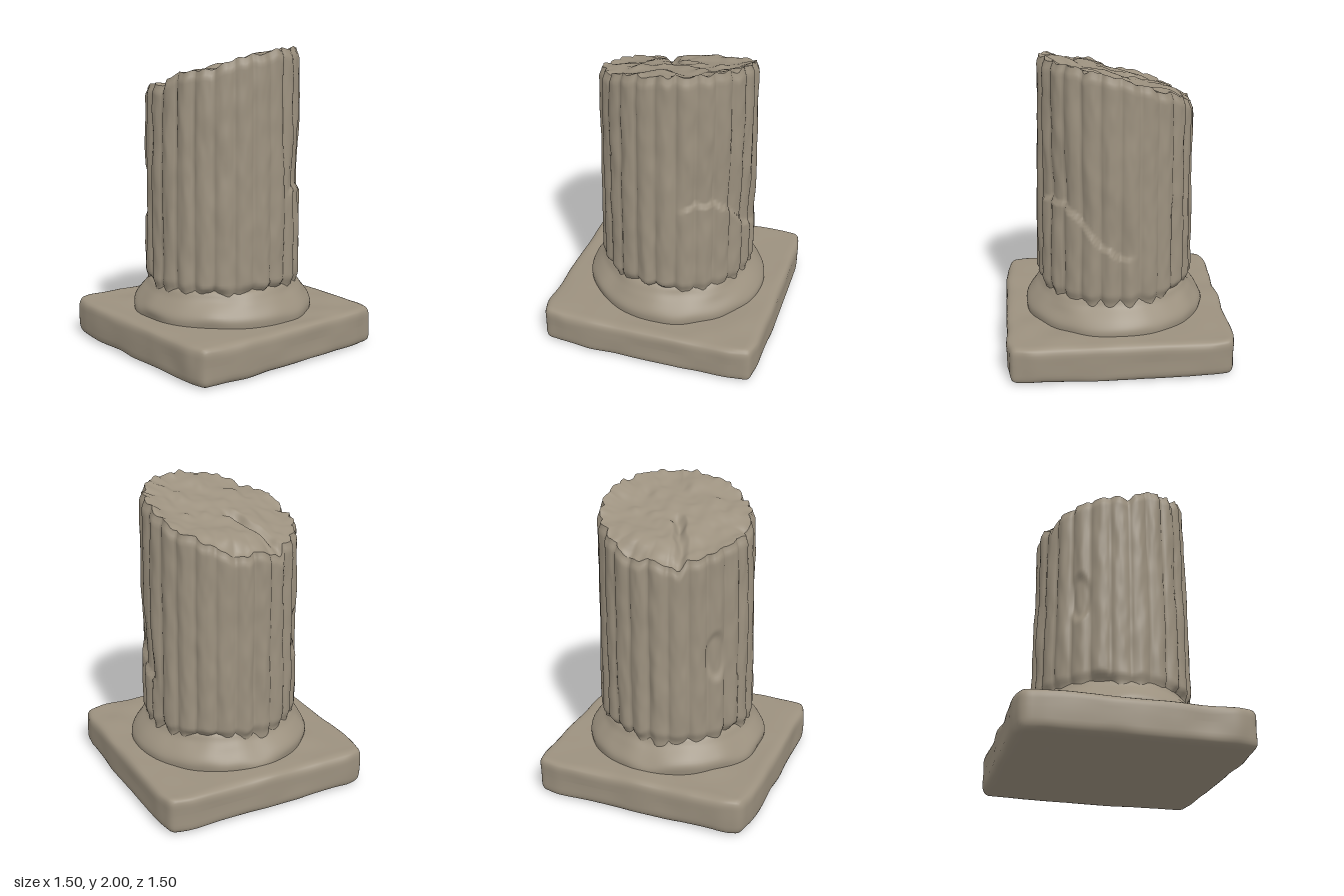
import * as THREE from 'three';
import { mergeVertices } from 'three/addons/utils/BufferGeometryUtils.js';

const { lerp, clamp, smoothstep } = THREE.MathUtils;
const stone = new THREE.MeshStandardMaterial({ color: 0x9c917f, roughness: 0.95 });

// Smooth seeded value noise in -1..1
function hash(x, y, z) {
  const s = Math.sin(x * 127.1 + y * 311.7 + z * 74.7) * 43758.5453;
  return (s - Math.floor(s)) * 2 - 1;
}
function noise(x, y, z) {
  const [i, j, k] = [x, y, z].map(Math.floor);
  const [u, v, w] = [x - i, y - j, z - k].map((f) => f * f * (3 - 2 * f));
  const edge = (b, c) => lerp(hash(i, j + b, k + c), hash(i + 1, j + b, k + c), u);
  return lerp(lerp(edge(0, 0), edge(1, 0), v), lerp(edge(0, 1), edge(1, 1), v), w);
}

// Closed tube of rings: point(angle, v) with v running 0..1 from first ring to last
function loft(cols, rows, point) {
  const pos = [], index = [];
  for (let i = 0; i <= rows; i++)
    for (let j = 0; j < cols; j++) pos.push(...point((j / cols) * Math.PI * 2, i / rows));
  for (let i = 0; i < rows; i++)
    for (let j = 0; j < cols; j++) {
      const a = i * cols + j, b = i * cols + ((j + 1) % cols);
      index.push(a, b, b + cols, a, b + cols, a + cols);
    }
  const g = new THREE.BufferGeometry();
  g.setAttribute('position', new THREE.Float32BufferAttribute(pos, 3));
  g.setIndex(index);
  g.computeVertexNormals();
  return g;
}

function part(name, geometry) {
  const mesh = new THREE.Mesh(geometry, stone);
  mesh.name = name;
  return mesh;
}

// Worn square slab with rounded edges and chipped corners
function plinthGeometry() {
  let g = new THREE.BoxGeometry(1.5, 0.26, 1.5, 60, 12, 60);
  g.deleteAttribute('uv');
  g.deleteAttribute('normal');
  g = mergeVertices(g);
  const p = g.attributes.position, v = new THREE.Vector3(), core = new THREE.Vector3();
  for (let i = 0; i < p.count; i++) {
    v.fromBufferAttribute(p, i);
    const r = 0.05 + 0.02 * noise(v.x * 6, v.y * 3, v.z * 6);
    core.set(clamp(v.x, r - 0.75, 0.75 - r), clamp(v.y, r - 0.13, 0.13 - r), clamp(v.z, r - 0.75, 0.75 - r));
    const d = v.clone().sub(core);
    if (d.lengthSq() > 0) v.copy(core).add(d.setLength(r));
    const wear = 0.012 * (noise(v.x * 5 + 9, v.y * 5, v.z * 5) - 0.6);
    const corner = 0.025 * smoothstep(Math.abs(v.x) + Math.abs(v.z), 1.3, 1.5);
    v.x -= Math.sign(v.x) * corner - (v.x / 0.75) * wear;
    v.z -= Math.sign(v.z) * corner - (v.z / 0.75) * wear;
    v.y += (v.y > 0 ? 1 : -0.5) * wear + 0.13;
    p.setXYZ(i, v.x, Math.max(v.y, 0), v.z);
  }
  g.computeVertexNormals();
  return g;
}

// Flared moulding between plinth and shaft
const flare = new THREE.SplineCurve([
  [0.6, 0.23], [0.605, 0.28], [0.59, 0.32], [0.55, 0.37], [0.515, 0.41], [0.49, 0.45], [0.46, 0.47],
].map((a) => new THREE.Vector2(...a)));
function mouldingPoint(t, v) {
  const q = flare.getPoint(v), s = Math.sin(t), c = Math.cos(t);
  const r = q.x + 0.013 * noise(s * 3, q.y * 12, c * 3) - 0.004;
  return [s * r, q.y + 0.01 * noise(s * 4 + 5, 1, c * 4), c * r];
}

// Slanted break: height of the fractured top
function breakHeight(x, z) {
  const along = clamp((-x * 0.9 + z * 0.43) / 0.5, 0, 1);
  const groove = Math.abs(x * 0.43 + z * 0.9 + 0.015 * noise(x * 12, 0, z * 12));
  const cut = 0.04 * smoothstep(along, 0, 0.2) * (1 - smoothstep(groove, 0.0, 0.05));
  return 1.845 + 0.28 * x - 0.1 * z - cut - 0.05 * smoothstep(-x, 0.4, 0.5)
    + 0.022 * noise(x * 6, 3, z * 6) + 0.012 * noise(x * 15, 7, z * 15);
}

// Fluted outline with erosion, a stepped crack at the back and a chip at the front
function shaftRadius(t, y) {
  const s = Math.sin(t), c = Math.cos(t);
  const worn = 0.5 + 0.5 * noise(s * 4, y * 2.5, c * 4);
  const flute = (0.018 + 0.014 * worn) * (1 - Math.pow(Math.abs(Math.sin(12 * t)), 0.8));
  let r = lerp(0.522, 0.506, (y - 0.4) / 1.5) - flute;
  r += 0.007 * noise(s * 9, y * 5, c * 9) + 0.004 * noise(s * 20, y * 9, c * 20);
  const turn = t - 2.2;
  const crack = 1.08 - 0.32 * smoothstep(turn, 0.1, 1.0) + 0.02 * noise(t * 9, 2, 0);
  const span = smoothstep(turn, -0.35, -0.2) * (1 - smoothstep(turn, 0.9, 1.2));
  r -= 0.02 * span * smoothstep(y, crack - 0.01, crack + 0.01) * (1 - smoothstep(y, crack, crack + 0.45));
  const chip = Math.hypot((t - 5.62) * 3, (y - 1.03) * 2.6);
  r -= 0.025 * (1 - smoothstep(chip, 0.3, 0.5));
  r -= 0.05 * (1 - smoothstep(y, 0.43, 0.5 + 0.02 * noise(s * 8, 4, c * 8)))
    * (0.4 + 0.6 * smoothstep(noise(s * 3, 8, c * 3), -0.2, 0.5));
  return r;
}
function shaftPoint(t, v) {
  const s = Math.sin(t), c = Math.cos(t);
  const top = breakHeight(s * 0.49, c * 0.49) + 0.015 * noise(s * 11, 5, c * 11);
  const y = lerp(0.4, top, v);
  const r = shaftRadius(t, y) - 0.018 * smoothstep(y, top - 0.06, top);
  const lean = -0.008 * (y / 2);
  return [s * r + lean, y, c * r + lean];
}

// Fractured face, from the jagged rim to the middle
function breakPoint(t, v) {
  const [x, y, z] = shaftPoint(t, 1), k = 1 - v;
  const px = x * k, pz = z * k;
  return [px, lerp(breakHeight(px, pz), y, Math.pow(k, 12)), pz];
}

export function createModel() {
  const column = new THREE.Group();
  column.name = 'brokenColumn';
  column.add(
    part('plinth', plinthGeometry()),
    part('baseMoulding', loft(96, 20, mouldingPoint)),
    part('flutedShaft', loft(240, 80, shaftPoint)),
    part('brokenTop', loft(240, 28, breakPoint)),
  );
  return column;
}
